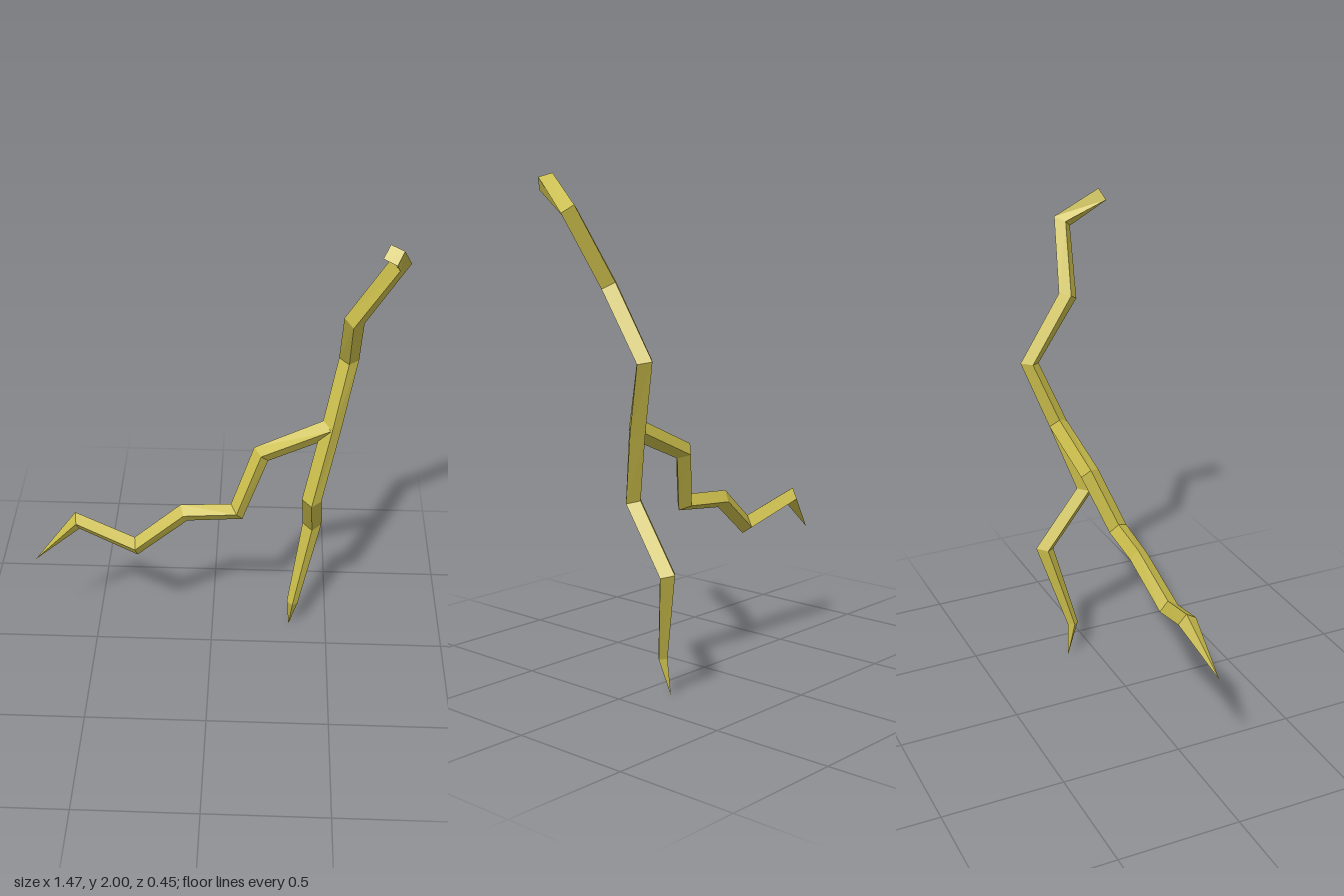
import * as THREE from 'three';

const material = new THREE.MeshStandardMaterial({ color: 0xc8bb4a, flatShading: true });

// Four-sided bolt swept along nodes [x, y, z, radius]; radius 0 makes a point.
function bolt(name, nodes, twist = 0) {
  const pts = nodes.map(([x, y, z]) => new THREE.Vector3(x, y, z));
  const dir = (i) => pts[i + 1].clone().sub(pts[i]).normalize();
  const last = pts.length - 1;
  const zAxis = new THREE.Vector3(0, 0, 1);

  const rings = pts.map((p, i) => {
    const t = new THREE.Vector3();
    if (i > 0) t.add(dir(i - 1));
    if (i < last) t.add(dir(i));
    t.normalize();
    const n = zAxis.clone().cross(t).normalize().applyAxisAngle(t, twist);
    const b = t.clone().cross(n);
    const r = nodes[i][3];
    return [0, 1, 2, 3].map((k) => p.clone()
      .addScaledVector(n, r * Math.round(Math.cos(k * Math.PI / 2)))
      .addScaledVector(b, r * Math.round(Math.sin(k * Math.PI / 2))));
  });

  const verts = [];
  const tri = (...corners) => corners.forEach((v) => verts.push(v.x, v.y, v.z));
  for (let i = 0; i < last; i++) {
    for (let k = 0; k < 4; k++) {
      const a = rings[i][k], b = rings[i][(k + 1) % 4];
      const c = rings[i + 1][(k + 1) % 4], d = rings[i + 1][k];
      tri(a, b, c);
      if (nodes[i + 1][3] > 0) tri(a, c, d);
    }
  }
  // Flat cap at the thick end
  const s = rings[0];
  tri(s[0], s[2], s[1]);
  tri(s[0], s[3], s[2]);

  const geometry = new THREE.BufferGeometry();
  geometry.setAttribute('position', new THREE.Float32BufferAttribute(verts, 3));
  geometry.computeVertexNormals();
  const mesh = new THREE.Mesh(geometry, material);
  mesh.name = name;
  return mesh;
}

export function createModel() {
  const group = new THREE.Group();
  group.name = 'lightningBolt';

  // Main bolt, from the top down to its tip
  group.add(bolt('mainBolt', [
    [0.65, 1.97, 0.20, 0.04],
    [0.693, 1.865, 0.035, 0.04],
    [0.54, 1.593, -0.01, 0.04],
    [0.54, 1.325, -0.187, 0.04],
    [0.48, 1.06, -0.09, 0.04],
    [0.41, 0.765, 0.002, 0.04],
    [0.424, 0.508, -0.187, 0.04],
    [0.35, 0.15, -0.093, 0.024],
    [0.338, 0.0, -0.123, 0],
  ]));

  // Side branch, leaving the main bolt towards -x
  group.add(bolt('sideBranch', [
    [0.475, 1.058, -0.09, 0.04],
    [0.20, 0.94, -0.068, 0.04],
    [0.105, 0.71, 0.015, 0.04],
    [-0.112, 0.69, 0.005, 0.038],
    [-0.31, 0.542, 0.045, 0.04],
    [-0.557, 0.63, -0.003, 0.038],
    [-0.735, 0.458, 0.045, 0],
  ], 0.2));

  return group;
}
